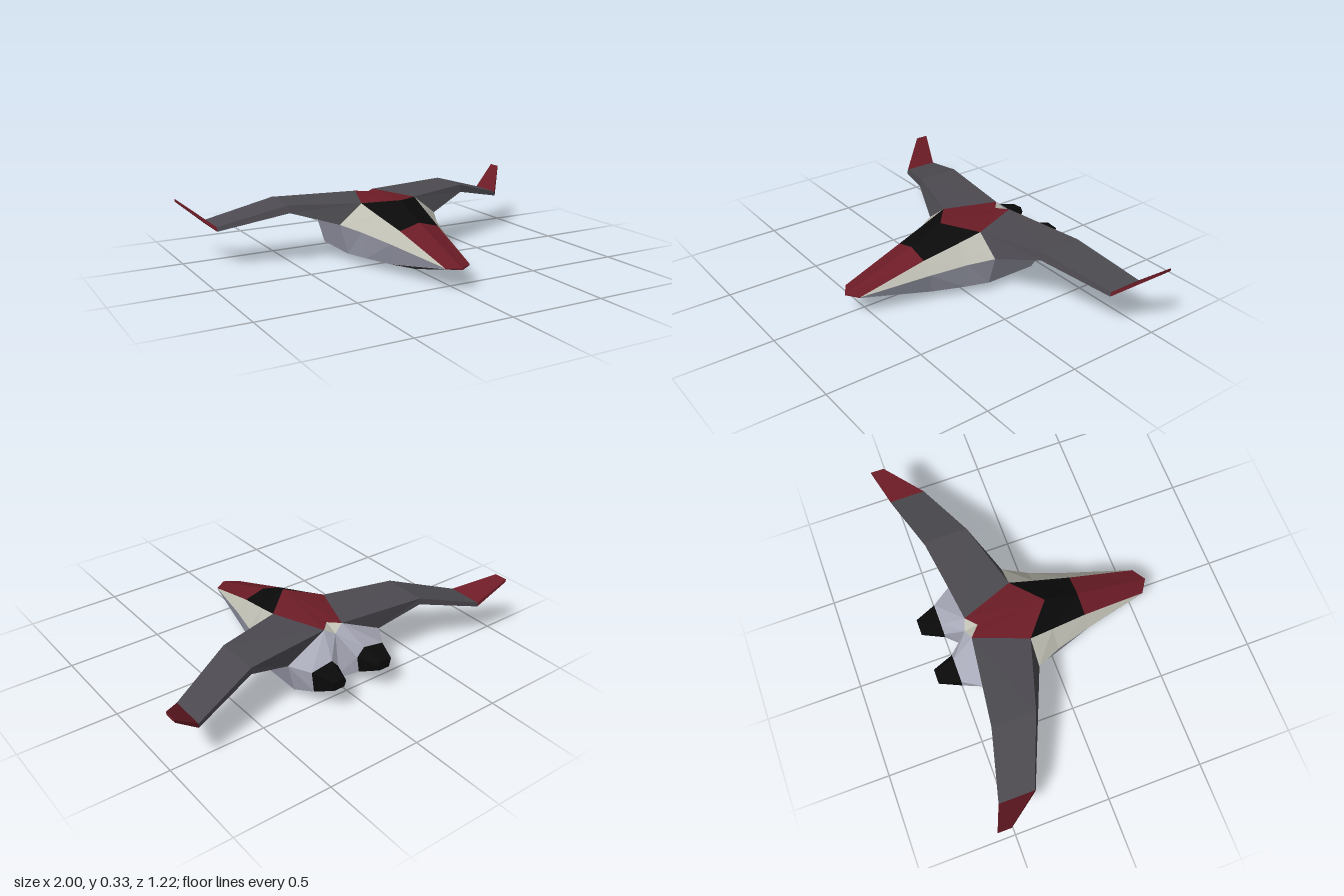
import * as THREE from 'three';

const paint = (color) => new THREE.MeshStandardMaterial({ color, flatShading: true });
const red = paint(0x6c1c26), black = paint(0x0a0a0a), pale = paint(0xbdbdb2);
const steel = paint(0x9a9cab), dark = paint(0x4c4a50), silver = paint(0xa8a9b8);

// Hull stations, nose to tail: ridge, deck edge, chine, lower edge, keel
const hull = [
  [[0, .115, .605], [.07, .115, .56], [.07, .114, .56], [.07, .11, .56], [0, .108, .605]],
  [[0, .25, .21], [.11, .22, .21], [.165, .16, .21], [.14, .045, .18], [0, 0, .18]],
  [[0, .33, .03], [.14, .27, .02], [.225, .185, .02], [.2, .045, .02], [0, 0, .02]],
  [[0, .33, .03], [.16, .305, -.105], [.285, .205, -.105], [.24, .045, -.105], [0, 0, -.105]],
  [[0, .31, -.33], [.055, .31, -.38], [.285, .205, -.4], [.24, .045, -.39], [0, 0, -.39]],
];
const [ridgeEnd, deckEnd, chineEnd, lowerEnd, keelEnd] = hull[4];
const notch = [0, .28, -.4];

// Wing sections, root to tip: top rear, top front, bottom front, bottom rear
const wing = [
  [deckEnd, hull[3][1], hull[3][2], chineEnd],
  [[.52, .315, -.44], [.52, .315, -.21], [.52, .275, -.2], [.52, .28, -.44]],
  [[.86, .213, -.53], [.86, .213, -.345], [.86, .19, -.34], [.86, .19, -.53]],
  [[1, .33, -.58], [1, .33, -.51], [1, .315, -.51], [1, .315, -.58]],
];

// Engine rings, front to back
const engine = [
  [notch, deckEnd, chineEnd, lowerEnd, keelEnd],
  [[.06, .17, -.5], [.1, .215, -.5], [.22, .195, -.5], [.205, .08, -.5], [.075, .08, -.5]],
  [[.1, .165, -.61], [.115, .185, -.61], [.18, .18, -.61], [.17, .135, -.61], [.11, .135, -.61]],
];

// Quads between stations from..to, along outline edges first..last
function strip(rings, from, to, first, last) {
  const faces = [];
  for (let i = from; i < to; i++) {
    for (let j = first; j < last; j++) {
      const k = (j + 1) % rings[i].length;
      faces.push([rings[i][j], rings[i][k], rings[i + 1][k], rings[i + 1][j]]);
    }
  }
  return faces;
}

// Flat-faced mesh from polygons, mirrored across x = 0 when side is -1
function panel(name, material, faces, side) {
  const pos = [];
  for (const f of faces) {
    for (let i = 1; i < f.length - 1; i++) {
      const tri = [f[0], f[i], f[i + 1]].map(([x, y, z]) => new THREE.Vector3(x * side, y, z));
      if (side < 0) tri.reverse();
      if (new THREE.Triangle(...tri).getArea() < 1e-7) continue;
      tri.forEach((v) => pos.push(v.x, v.y, v.z));
    }
  }
  const geo = new THREE.BufferGeometry();
  geo.setAttribute('position', new THREE.Float32BufferAttribute(pos, 3));
  geo.computeVertexNormals();
  const mesh = new THREE.Mesh(geo, material);
  mesh.name = name;
  return mesh;
}

export function createModel() {
  const model = new THREE.Group();
  model.name = 'spacecraft';
  for (const side of [1, -1]) {
    const half = new THREE.Group();
    half.name = side > 0 ? 'leftHalf' : 'rightHalf';
    const add = (name, material, faces) => half.add(panel(name, material, faces, side));

    // Fuselage
    const [t, d, , l, k] = hull[0];
    add('noseDeck', red, [...strip(hull, 0, 1, 0, 1), [t, k, l, d]]);
    add('canopy', black, strip(hull, 1, 3, 0, 1));
    add('backDeck', red, strip(hull, 3, 4, 0, 1));
    add('upperFlank', pale, strip(hull, 0, 3, 1, 2));
    add('lowerFlank', steel, strip(hull, 0, 4, 2, 3));
    add('belly', dark, strip(hull, 0, 4, 3, 4));
    add('tailFillet', pale, [[ridgeEnd, deckEnd, notch]]);

    // Gull wing with upturned tip
    add('wing', dark, strip(wing, 0, 2, 0, 4));
    add('winglet', red, [...strip(wing, 2, 3, 0, 4), wing[3]]);

    // Engine
    add('nacelle', silver, strip(engine, 0, 1, 0, 5));
    add('nozzle', black, [...strip(engine, 1, 2, 0, 5), engine[2]]);
    model.add(half);
  }
  return model;
}
